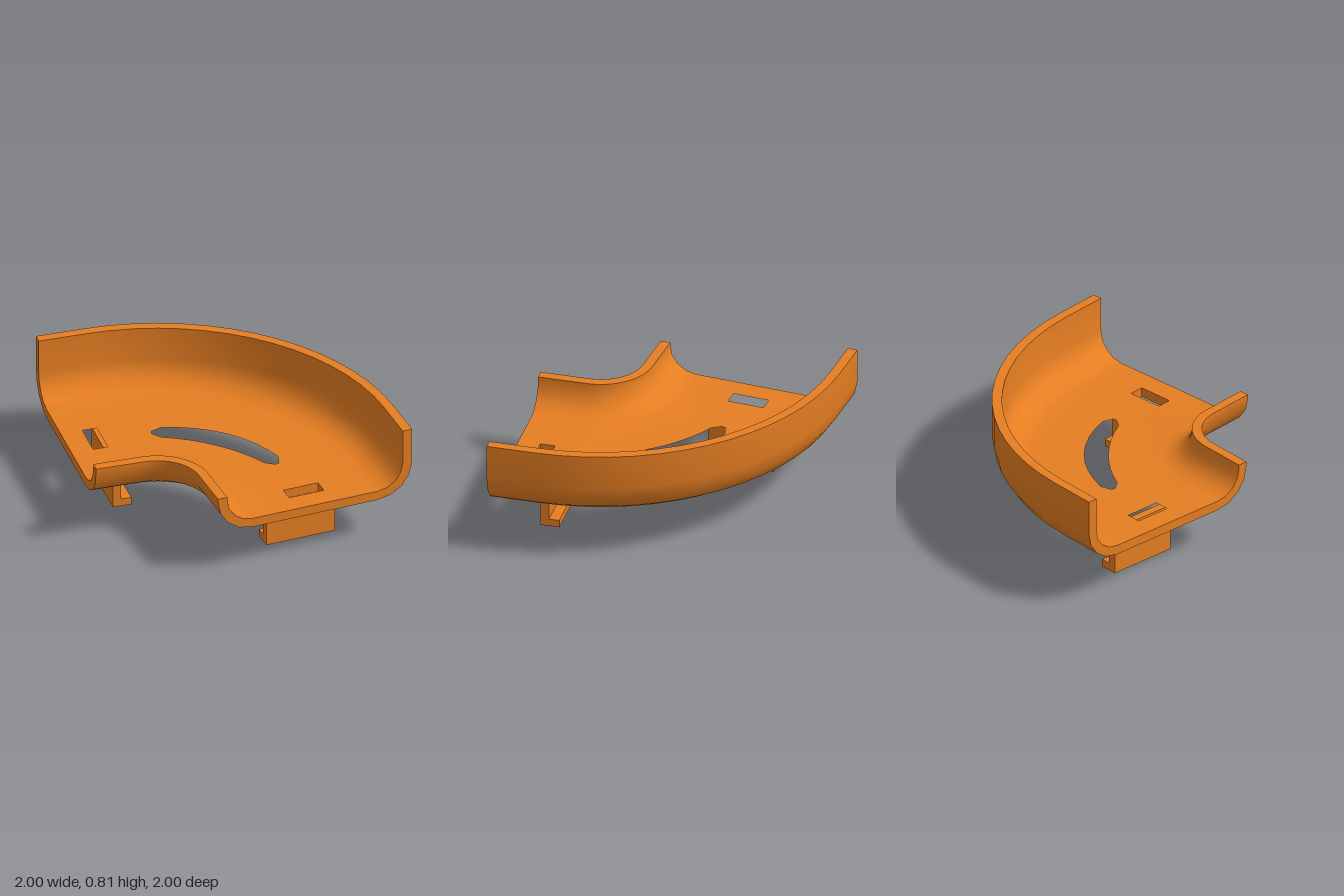
import * as THREE from 'three';
import { mergeGeometries, toCreasedNormals } from 'three/addons/utils/BufferGeometryUtils.js';

// Bend layout: centre of curvature, radii, heights
const CENTRE = [-0.685, 0.685];
const R_IN = 0.293, R_OUT = 1.667, R_MID = 0.98;
const BOTTOM = 0.325, THICK = 0.066, FILLET = 0.245;
const A0 = THREE.MathUtils.degToRad(2.93), A1 = Math.PI / 2 - A0;
const STRAIGHT = 0.33, ARC_STEPS = 15;

// Plan position at radius r, bend angle a, and distance s along the tangent
function plan(r, a, s = 0) {
  return [
    CENTRE[0] + r * Math.sin(a) + s * Math.cos(a),
    CENTRE[1] - r * Math.cos(a) + s * Math.sin(a),
  ];
}

// Stations along the bend: straight lead-in, arc, straight lead-out
const stations = [[A0, -STRAIGHT]];
for (let i = 0; i <= ARC_STEPS; i++) stations.push([A0 + (A1 - A0) * i / ARC_STEPS, 0]);
stations.push([A1, STRAIGHT]);

// Rounded wall section as a clockwise loop, open where it meets the floor
function wallLoop(seamR, side, top) {
  const skin = (radius) => {
    const pts = [[seamR + side * radius, top]];
    for (let i = 0; i <= 4; i++) {
      const t = i * Math.PI / 8;
      pts.push([seamR + side * radius * Math.cos(t), BOTTOM + FILLET - radius * Math.sin(t)]);
    }
    return pts;
  };
  const loop = [...skin(FILLET), ...skin(FILLET - THICK).reverse()];
  return side > 0 ? loop : loop.reverse();
}

// Sweep a wall section through the stations and cap both ends
function sweepWall(loop) {
  const pos = [];
  const n = loop.length, half = n / 2, last = stations.length - 1;
  const at = (i, j) => {
    const [r, y] = loop[i % n];
    const [x, z] = plan(r, ...stations[j]);
    return [x, y, z];
  };
  const quad = (a, b, c, d) => pos.push(...a, ...b, ...c, ...a, ...c, ...d);
  for (let j = 0; j < last; j++) {
    for (let i = 0; i < n; i++) {
      if (i !== half - 1) quad(at(i, j), at(i, j + 1), at(i + 1, j + 1), at(i + 1, j));
    }
  }
  for (let i = 0; i < half - 1; i++) {
    const k = n - 1 - i;
    quad(at(i, 0), at(i + 1, 0), at(k - 1, 0), at(k, 0));
    quad(at(k, last), at(k - 1, last), at(i + 1, last), at(i, last));
  }
  const geo = new THREE.BufferGeometry();
  geo.setAttribute('position', new THREE.Float32BufferAttribute(pos, 3));
  geo.computeVertexNormals();
  return geo;
}

const toShape = (pts, Type) => new Type(pts.map(([x, z]) => new THREE.Vector2(x, -z)));

// Curved slot following the bend, with blunt tapered ends
function curvedSlot() {
  const deg = THREE.MathUtils.degToRad;
  const outer = [], inner = [];
  for (let i = 0; i <= 8; i++) {
    const a = deg(21 + 48 * i / 8), bulge = Math.sin(Math.PI * i / 8);
    outer.push(plan(1.04 + 0.023 * bulge, a));
    inner.unshift(plan(0.922 - 0.017 * bulge, a));
  }
  return [
    plan(0.967, deg(17.3)), plan(0.995, deg(17.4)), ...outer,
    plan(0.995, deg(72.6)), plan(0.967, deg(72.7)), ...inner,
  ];
}

// Rectangular slot near one end; k is the direction into the bend
function clipSlot(a, k) {
  return [[-0.123, -0.05], [0.123, -0.05], [0.123, 0.05], [-0.123, 0.05]]
    .map(([r, s]) => plan(R_MID + r, a, k * (s - 0.132)));
}

// Flat floor between the two wall fillets
function floorGeometry() {
  const outline = [
    ...stations.map((s) => plan(R_OUT - FILLET, ...s)),
    ...stations.map((s) => plan(R_IN + FILLET, ...s)).reverse(),
  ];
  const shape = toShape(outline, THREE.Shape);
  for (const hole of [curvedSlot(), clipSlot(A0, 1), clipSlot(A1, -1)]) {
    shape.holes.push(toShape(hole, THREE.Path));
  }
  const geo = new THREE.ExtrudeGeometry(shape, { depth: THICK, bevelEnabled: false });
  geo.rotateX(-Math.PI / 2).translate(0, BOTTOM, 0);
  geo.deleteAttribute('uv');
  return geo;
}

// L-shaped mounting hook below the floor
function hook(name, a, k, material) {
  const width = 0.486;
  const profile = [
    [-0.083, 0], [0.043, 0], [0.043, 0.052], [-0.027, 0.052], [-0.027, BOTTOM + 0.005], [-0.083, BOTTOM + 0.005],
  ].map(([s, y]) => new THREE.Vector2(k * s, y));
  const geo = new THREE.ExtrudeGeometry(new THREE.Shape(profile), { depth: width, bevelEnabled: false });
  geo.translate(0, 0, -width / 2);
  const mesh = new THREE.Mesh(geo, material);
  const [x, z] = plan(R_MID, a);
  mesh.position.set(x, 0, z);
  mesh.rotation.y = -a;
  mesh.name = name;
  return mesh;
}

export function createModel() {
  const group = new THREE.Group();
  group.name = 'channelBend';
  const orange = new THREE.MeshStandardMaterial({ color: 0xe67e22 });
  orange.name = 'orange';

  // Channel: floor plus tall outer wall and low inner wall
  const channel = new THREE.Mesh(toCreasedNormals(mergeGeometries([
    floorGeometry(),
    sweepWall(wallLoop(R_OUT - FILLET, 1, 0.81)),
    sweepWall(wallLoop(R_IN + FILLET, -1, 0.593)),
  ]), 0.6), orange);
  channel.name = 'channel';
  group.add(channel);

  group.add(hook('leftEndHook', A0, 1, orange), hook('frontEndHook', A1, -1, orange));
  return group;
}
